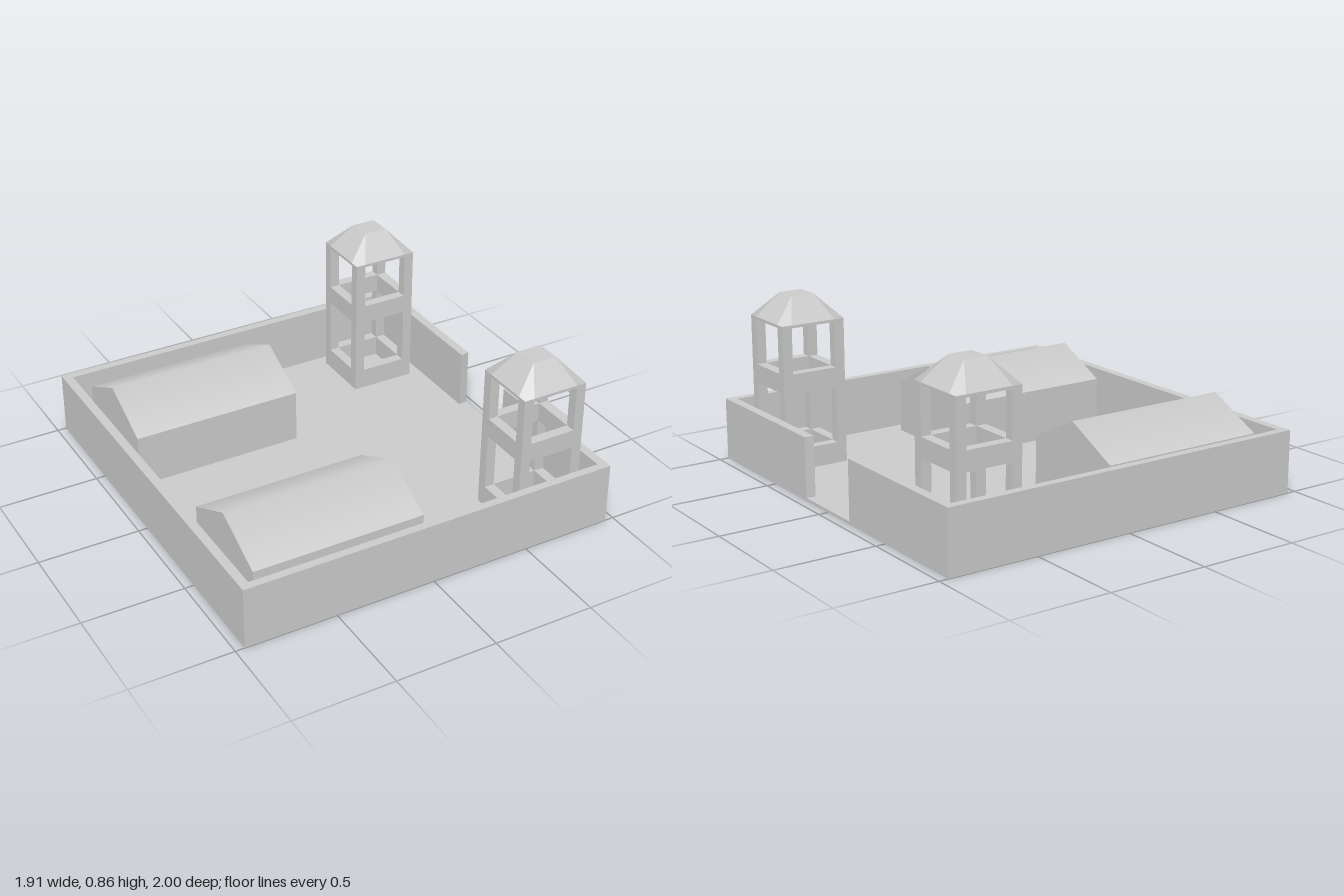
import * as THREE from 'three';

const mat = new THREE.MeshStandardMaterial({ color: 0xcccccc });
const matThin = new THREE.MeshStandardMaterial({ color: 0xcccccc, side: THREE.DoubleSide });

const FLOOR = 0.015;

function box(name, w, y0, y1, d, x, z) {
  const mesh = new THREE.Mesh(new THREE.BoxGeometry(w, y1 - y0, d), mat);
  mesh.name = name;
  mesh.position.set(x, (y0 + y1) / 2, z);
  return mesh;
}

// Perimeter wall: one C-shaped plan with slightly splayed gate ends on +x
function perimeterWall() {
  const X = 0.955, Z = 1, xi = 0.91, zi = 0.96;
  const plan = [
    [X, 0.197], [X, Z], [-X, Z], [-X, -Z], [X, -Z], [X, -0.197],
    [xi, -0.19], [xi, -zi], [-xi, -zi], [-xi, zi], [xi, zi], [xi, 0.19],
  ].map(([x, y]) => new THREE.Vector2(x, y));
  const geo = new THREE.ExtrudeGeometry(new THREE.Shape(plan), { depth: 0.31 - FLOOR, bevelEnabled: false });
  geo.rotateX(-Math.PI / 2).translate(0, FLOOR, 0);
  const mesh = new THREE.Mesh(geo, mat);
  mesh.name = 'perimeterWall';
  return mesh;
}

// Long hall: gabled body with shading softened across the ridge
function hall() {
  const hw = 0.278, eave = 0.282, ridge = 0.42, len = 0.86;
  const shape = new THREE.Shape([
    [-hw, FLOOR], [hw, FLOOR], [hw, eave], [0, ridge], [-hw, eave],
  ].map(([x, y]) => new THREE.Vector2(x, y)));
  const geo = new THREE.ExtrudeGeometry(shape, { depth: len, bevelEnabled: false });
  const pos = geo.attributes.position, nor = geo.attributes.normal;
  for (let i = 0; i < pos.count; i++) {
    if (pos.getY(i) > ridge - 1e-4 && Math.abs(nor.getZ(i)) < 0.5) nor.setXYZ(i, 0, 1, 0);
  }
  geo.rotateY(Math.PI / 2);
  const mesh = new THREE.Mesh(geo, mat);
  mesh.name = 'hall';
  return mesh;
}

// Hollow truncated roof: a flat panel per side, soft-shaded hips between them
function towerRoof(hx, hz, post, y0, y1, top) {
  const P = [], N = [];
  const tri = (pts, n) => {
    const [a, b, c] = pts.map((p) => new THREE.Vector3(...p));
    const face = b.clone().sub(a).cross(c.clone().sub(a));
    const ordered = face.dot(n) > 0 ? [a, b, c] : [a, c, b];
    ordered.forEach((v) => { P.push(v.x, v.y, v.z); N.push(n.x, n.y, n.z); });
  };
  const rise = y1 - y0;
  const nx = new THREE.Vector3(rise, hx - top, 0).normalize();
  const nz = new THREE.Vector3(0, hz - top, rise).normalize();
  const hip = nx.clone().add(nz).normalize();
  const ix = hx - post, iz = hz - post;
  for (const s of [-1, 1]) {
    const px = nx.clone().multiply(new THREE.Vector3(s, 1, 1));
    const pz = nz.clone().multiply(new THREE.Vector3(1, 1, s));
    tri([[s * hx, y0, -iz], [s * hx, y0, iz], [s * top, y1, top]], px);
    tri([[s * hx, y0, -iz], [s * top, y1, top], [s * top, y1, -top]], px);
    tri([[-ix, y0, s * hz], [ix, y0, s * hz], [top, y1, s * top]], pz);
    tri([[-ix, y0, s * hz], [top, y1, s * top], [-top, y1, s * top]], pz);
    for (const t of [-1, 1]) {
      const n = hip.clone().multiply(new THREE.Vector3(s, 1, t));
      const peak = [s * top, y1, t * top], corner = [s * hx, y0, t * hz];
      tri([peak, corner, [s * hx, y0, t * iz]], n);
      tri([peak, corner, [s * ix, y0, t * hz]], n);
    }
    // Flat cap, one half per pass
    tri([[-top, y1, -top], [top, y1, top], [s * top, y1, -s * top]], new THREE.Vector3(0, 1, 0));
  }
  const geo = new THREE.BufferGeometry();
  geo.setAttribute('position', new THREE.Float32BufferAttribute(P, 3));
  geo.setAttribute('normal', new THREE.Float32BufferAttribute(N, 3));
  const mesh = new THREE.Mesh(geo, matThin);
  mesh.name = 'towerRoof';
  return mesh;
}

// Watchtower: four posts joined by three rings of rails
function watchtower() {
  const tower = new THREE.Group();
  tower.name = 'watchtower';
  const hx = 0.167, hz = 0.16, post = 0.05, eave = 0.74;
  for (const s of [-1, 1]) {
    for (const t of [-1, 1]) {
      tower.add(box('post', post, FLOOR, eave, post, s * (hx - post / 2), t * (hz - post / 2)));
    }
    for (const [name, y0, y1] of [['baseRail', FLOOR, 0.12], ['middleRail', 0.405, 0.5], ['topRail', 0.726, eave]]) {
      tower.add(box(name, post, y0, y1, 2 * (hz - post), s * (hx - post / 2), 0));
      tower.add(box(name, 2 * (hx - post), y0, y1, post, 0, s * (hz - post / 2)));
    }
  }
  tower.add(towerRoof(hx, hz, post, eave, 0.857, 0.06));
  return tower;
}

export function createModel() {
  const group = new THREE.Group();
  group.name = 'walledCompound';
  group.add(box('floor', 1.91, 0, FLOOR, 2, 0, 0), perimeterWall());
  for (const s of [-1, 1]) {
    const h = hall();
    h.position.set(-0.845, 0, s * 0.598);
    const t = watchtower();
    t.position.set(0.68, 0, s * 0.743);
    group.add(h, t);
  }
  return group;
}
